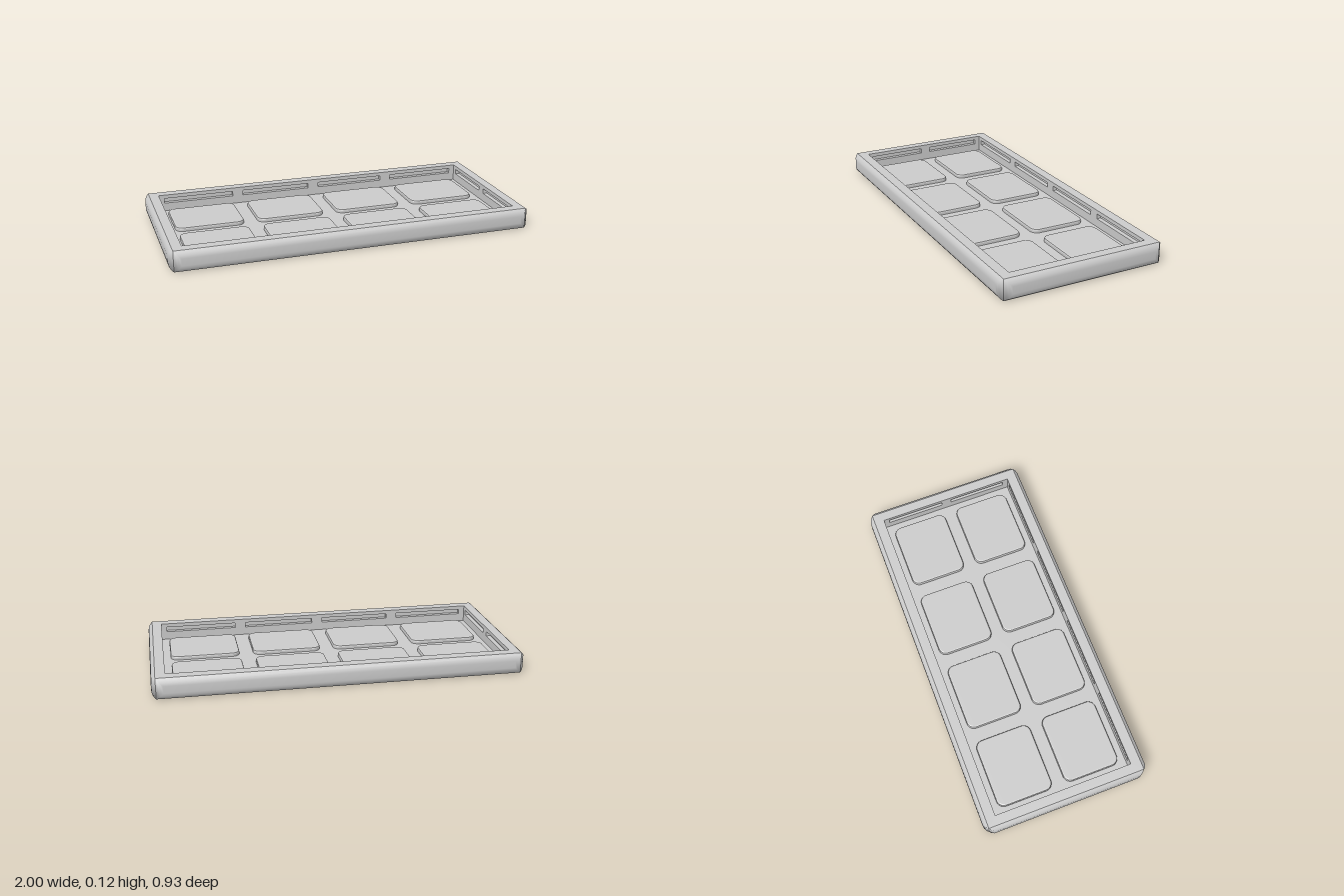
import * as THREE from 'three';

const HX = 0.977, HZ = 0.443;   // core half sizes
const IX = 0.925, IZ = 0.388;   // half sizes of the opening
const TOP = 0.115, FLOOR = 0.02, CAP = 0.004, SLOT_DEPTH = 0.025;
const PADS_X = [-0.693, -0.231, 0.231, 0.693], PADS_Z = [-0.193, 0.193];

const material = new THREE.MeshStandardMaterial({ color: 0xcccccc });

function add(parent, name, geometry, x = 0, y = 0, z = 0, turn = 0) {
  const mesh = new THREE.Mesh(geometry, material);
  mesh.name = name;
  mesh.position.set(x, y, z);
  mesh.rotation.y = turn;
  parent.add(mesh);
  return mesh;
}

function rect(path, cx, cy, hx, hy) {
  path.moveTo(cx - hx, cy - hy);
  path.lineTo(cx + hx, cy - hy);
  path.lineTo(cx + hx, cy + hy);
  path.lineTo(cx - hx, cy + hy);
  path.closePath();
  return path;
}

// flat rectangular frame, standing on y = 0
function frame(hx, hz, ix, iz, height) {
  const shape = rect(new THREE.Shape(), 0, 0, hx, hz);
  shape.holes.push(rect(new THREE.Path(), 0, 0, ix, iz));
  return new THREE.ExtrudeGeometry(shape, { depth: height, bevelEnabled: false }).rotateX(-Math.PI / 2);
}

// inner wall with a row of slots, facing +z
function slottedWall(half, centres, slotHalf) {
  const height = TOP - CAP;
  const shape = rect(new THREE.Shape(), 0, (FLOOR + height) / 2, half, (height - FLOOR) / 2);
  for (const c of centres) shape.holes.push(rect(new THREE.Path(), c, 0.08, slotHalf, 0.014));
  return new THREE.ExtrudeGeometry(shape, { depth: SLOT_DEPTH, bevelEnabled: false })
    .translate(0, 0, -SLOT_DEPTH);
}

// pillowed outer side, facing +z: shrinking rectangles stepped outwards
function bulge(half) {
  const steps = [[0, 0], [0.009, 0.011], [0.022, 0.02], [0.038, 0.023]]; // inset, offset
  const pos = [], index = [];
  for (const [inset, out] of steps) {
    const hx = half - inset, lo = inset, hi = TOP - inset;
    pos.push(-hx, lo, out, hx, lo, out, hx, hi, out, -hx, hi, out);
  }
  for (let s = 0; s < steps.length - 1; s++) {
    for (let i = 0; i < 4; i++) {
      const a = s * 4 + i, b = s * 4 + (i + 1) % 4;
      index.push(a, b, b + 4, a, b + 4, a + 4);
    }
  }
  const c = (steps.length - 1) * 4;
  index.push(c, c + 1, c + 2, c, c + 2, c + 3);
  const geometry = new THREE.BufferGeometry();
  geometry.setAttribute('position', new THREE.Float32BufferAttribute(pos, 3));
  geometry.setIndex(index);
  geometry.computeVertexNormals();
  return geometry;
}

// raised pad with rounded corners and a softened top edge
function padGeometry() {
  const bevel = 0.009, hx = 0.192 - bevel, hz = 0.158 - bevel, r = 0.034;
  const s = new THREE.Shape();
  s.moveTo(-hx + r, -hz);
  s.lineTo(hx - r, -hz);
  s.absarc(hx - r, -hz + r, r, -Math.PI / 2, 0);
  s.absarc(hx - r, hz - r, r, 0, Math.PI / 2);
  s.absarc(-hx + r, hz - r, r, Math.PI / 2, Math.PI);
  s.absarc(-hx + r, -hz + r, r, Math.PI, Math.PI * 1.5);
  return new THREE.ExtrudeGeometry(s, {
    depth: 0.016, bevelThickness: bevel, bevelSize: bevel, bevelSegments: 2, curveSegments: 6,
  }).rotateX(-Math.PI / 2);
}

export function createModel() {
  const model = new THREE.Group();
  model.name = 'tray';

  // floor plate and rim
  add(model, 'floor', new THREE.BoxGeometry(HX * 2, FLOOR, HZ * 2), 0, FLOOR / 2, 0);
  add(model, 'rimCore', frame(HX, HZ, IX + SLOT_DEPTH, IZ + SLOT_DEPTH, TOP - CAP - FLOOR), 0, FLOOR, 0);
  add(model, 'rimTop', frame(HX, HZ, IX, IZ, CAP), 0, TOP - CAP, 0);

  // outer sides and slotted inner walls, mirrored front/back and left/right
  const longSide = bulge(HX), shortSide = bulge(HZ);
  const longWall = slottedWall(IX, PADS_X, 0.2);
  const shortWall = slottedWall(IZ, PADS_Z, 0.165);
  for (const s of [1, -1]) {
    const turnZ = s > 0 ? 0 : Math.PI;
    add(model, s > 0 ? 'frontSide' : 'backSide', longSide, 0, 0, s * HZ, turnZ);
    add(model, s > 0 ? 'leftSide' : 'rightSide', shortSide, s * HX, 0, 0, s * Math.PI / 2);
    add(model, s > 0 ? 'frontInnerWall' : 'backInnerWall', longWall, 0, 0, s * IZ, Math.PI - turnZ);
    add(model, s > 0 ? 'leftInnerWall' : 'rightInnerWall', shortWall, s * IX, 0, 0, -s * Math.PI / 2);
  }

  // two rows of four pads
  const pads = new THREE.Group();
  pads.name = 'pads';
  const pad = padGeometry();
  for (const z of PADS_Z) for (const x of PADS_X) add(pads, 'pad', pad, x, FLOOR - 0.003, z);
  model.add(pads);

  return model;
}
